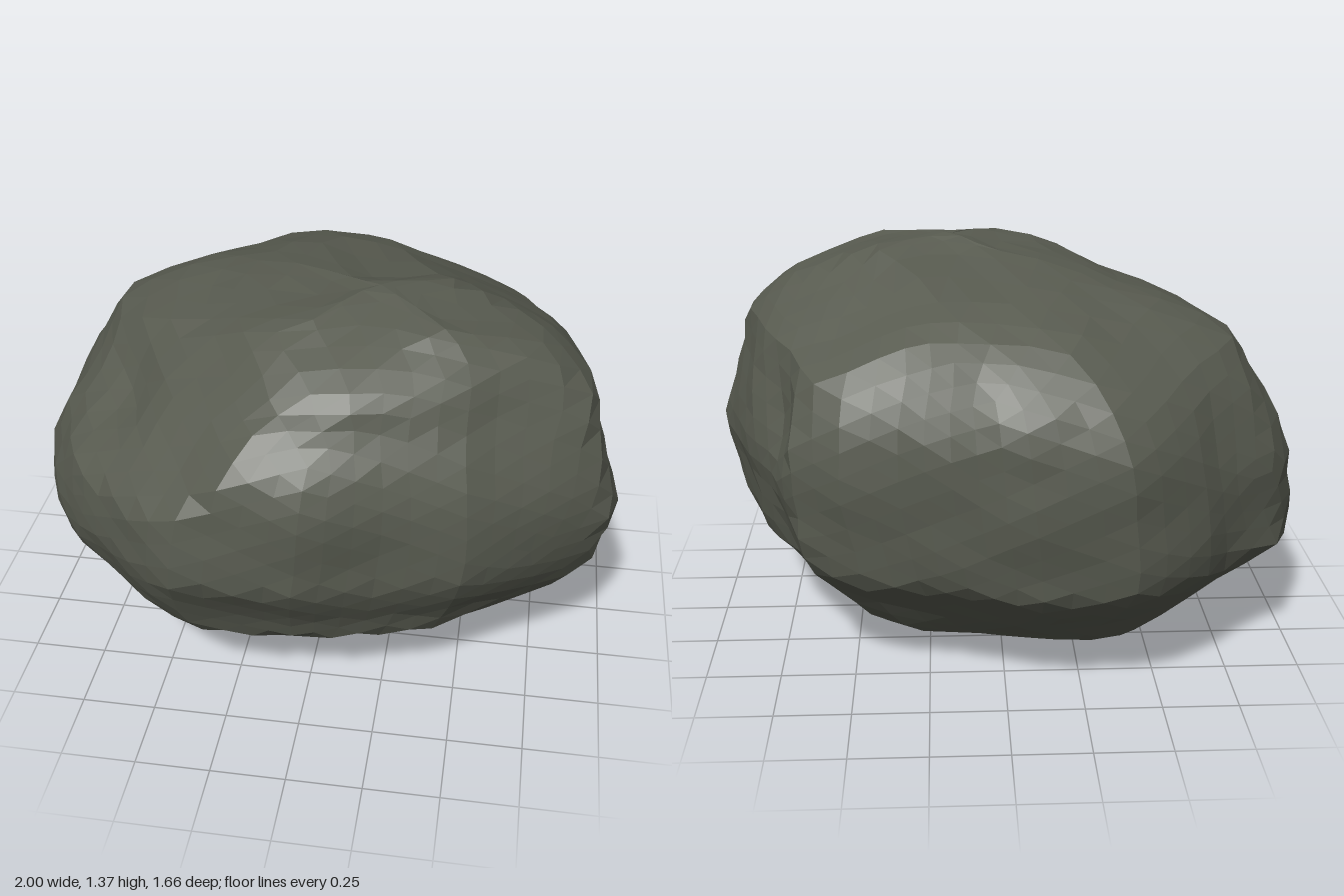
import * as THREE from 'three';

// Widest outline of the boulder seen from above (x, z), anticlockwise by angle.
const OUTLINE = [
  [-1, -0.25], [-0.93, -0.4], [-0.72, -0.57], [-0.62, -0.68], [-0.41, -0.82], [-0.1, -0.83],
  [0.03, -0.81], [0.37, -0.67], [0.5, -0.66], [0.69, -0.57], [0.75, -0.38], [0.88, -0.18],
  [0.95, 0.05], [1, 0.23], [0.98, 0.35], [0.8, 0.48], [0.52, 0.66], [0.02, 0.81],
  [-0.26, 0.82], [-0.41, 0.82], [-0.55, 0.72], [-0.8, 0.5], [-0.9, 0.37], [-1, 0.13],
];

// Extents by height: y, min, max.
const X_EXTENT = [
  [0, -0.04, -0.04], [0.01, -0.18, 0.06], [0.07, -0.45, 0.33], [0.17, -0.62, 0.56], [0.3, -0.84, 0.78],
  [0.41, -1, 0.94], [0.55, -1, 0.97], [0.7, -0.99, 1], [0.85, -0.92, 0.95], [1, -0.84, 0.9],
  [1.1, -0.78, 0.88], [1.18, -0.6, 0.8], [1.24, -0.4, 0.71], [1.29, -0.25, 0.57], [1.33, 0, 0.4], [1.37, 0.18, 0.18],
];
const Z_EXTENT = [
  [0, 0, 0], [0.01, -0.12, 0.1], [0.05, -0.36, 0.22], [0.1, -0.46, 0.32], [0.2, -0.57, 0.5],
  [0.3, -0.69, 0.68], [0.4, -0.79, 0.72], [0.6, -0.82, 0.83], [0.75, -0.83, 0.83], [0.9, -0.82, 0.82],
  [1, -0.78, 0.79], [1.1, -0.7, 0.7], [1.2, -0.57, 0.65], [1.28, -0.35, 0.5], [1.33, 0, 0.36], [1.37, 0.15, 0.15],
];

// Broad planes that shave the diagonal shoulders: normal and distance from the centre.
const CUTS = [
  [-0.354, 0.866, -0.354, 0.71], [0.354, -0.866, 0.354, 0.685],
  [0.354, 0.866, -0.354, 0.7], [-0.354, -0.866, 0.354, 0.695],
  [-0.5, 0.7, 0.5, 0.71],
];

// Hollows and swellings: x, y, z, radius, depth (negative swells).
const DENTS = [
  [-0.66, 0.93, 0.3, 0.14, 0.05], [-0.78, 1, 0.14, 0.2, 0.07],
  [0.85, 0.62, -0.12, 0.14, 0.03], [0.25, 0.72, 0.75, 0.14, 0.02],
  [0.72, 0.9, -0.4, 0.12, 0.03], [0.15, 1.28, -0.22, 0.2, 0.02],
  [-0.5, 1.18, -0.25, 0.2, -0.03], [-0.45, 0.2, -0.4, 0.25, -0.025],
  [-0.4, 1.15, 0.25, 0.16, 0.02], [0.6, 1, 0.5, 0.2, 0.015],
];

function extentAt(table, y) {
  let i = 1;
  while (i < table.length - 1 && table[i][0] < y) i++;
  const [a, b] = [table[i - 1], table[i]];
  const t = THREE.MathUtils.clamp((y - a[0]) / (b[0] - a[0]), 0, 1);
  return [a[1] + (b[1] - a[1]) * t, a[2] + (b[2] - a[2]) * t];
}

function outlineAt(angle) {
  const turn = Math.PI * 2;
  const start = Math.atan2(OUTLINE[0][1], OUTLINE[0][0]);
  const from = (a) => (((a - start) % turn) + turn) % turn;
  const target = from(angle);
  for (let i = 0; i < OUTLINE.length; i++) {
    const a = OUTLINE[i], b = OUTLINE[(i + 1) % OUTLINE.length];
    const aa = from(Math.atan2(a[1], a[0]));
    const ab = i === OUTLINE.length - 1 ? turn : from(Math.atan2(b[1], b[0]));
    if (target <= ab) {
      const t = (target - aa) / (ab - aa);
      return [a[0] + (b[0] - a[0]) * t, a[1] + (b[1] - a[1]) * t];
    }
  }
  return OUTLINE[0];
}

// Places one coordinate: the extents rule at the sides, a rounder bulge between them.
function spread(unit, [low, high], halfWidth, bulge) {
  const half = THREE.MathUtils.lerp(bulge * halfWidth, (high - low) / 2, Math.abs(unit) ** 3);
  return (low + high) / 2 + unit * half;
}

// Moves a point of the unit sphere onto the boulder.
function shape(p) {
  const y = 0.685 * (1 + p.y);
  const [ox, oz] = outlineAt(Math.atan2(p.z, p.x));
  const bulge = Math.sqrt(Math.max(0, 1 - Math.abs(p.y) ** 2.25));
  p.set(
    spread(ox, extentAt(X_EXTENT, y), 1, bulge),
    y - 0.685,
    spread(oz / 0.83, extentAt(Z_EXTENT, y), 0.83, bulge),
  );

  for (const [nx, ny, nz, d] of CUTS) {
    const reach = p.x * nx + p.y * ny + p.z * nz;
    if (reach > d) p.multiplyScalar(d / reach);
  }

  // Local hollows, then small chipped unevenness
  const { x, z } = p, h = p.y + 0.685;
  let inward = 0;
  for (const [dx, dy, dz, r, depth] of DENTS) {
    const q = (x - dx) ** 2 + (h - dy) ** 2 + (z - dz) ** 2;
    inward += depth * Math.exp(-q / (r * r));
  }
  inward += 0.006 * Math.sin(9 * x + 4 * h + 1) * Math.sin(11 * h - 3 * z) + 0.005 * Math.sin(17 * z + 8 * x) * Math.cos(19 * h);
  p.multiplyScalar(1 - inward / Math.max(p.length(), 0.3));
  p.y += 0.685;
}

export function createModel() {
  const group = new THREE.Group();
  group.name = 'boulder';

  const geometry = new THREE.IcosahedronGeometry(1, 9);
  const position = geometry.attributes.position;
  const p = new THREE.Vector3();
  for (let i = 0; i < position.count; i++) {
    p.fromBufferAttribute(position, i);
    shape(p);
    position.setXYZ(i, p.x, Math.max(p.y, 0), p.z);
  }
  geometry.computeVertexNormals();

  const stone = new THREE.MeshStandardMaterial({ color: 0x585b50, flatShading: true });
  stone.name = 'dark grey stone';
  const rock = new THREE.Mesh(geometry, stone);
  rock.name = 'rock';
  group.add(rock);
  return group;
}
